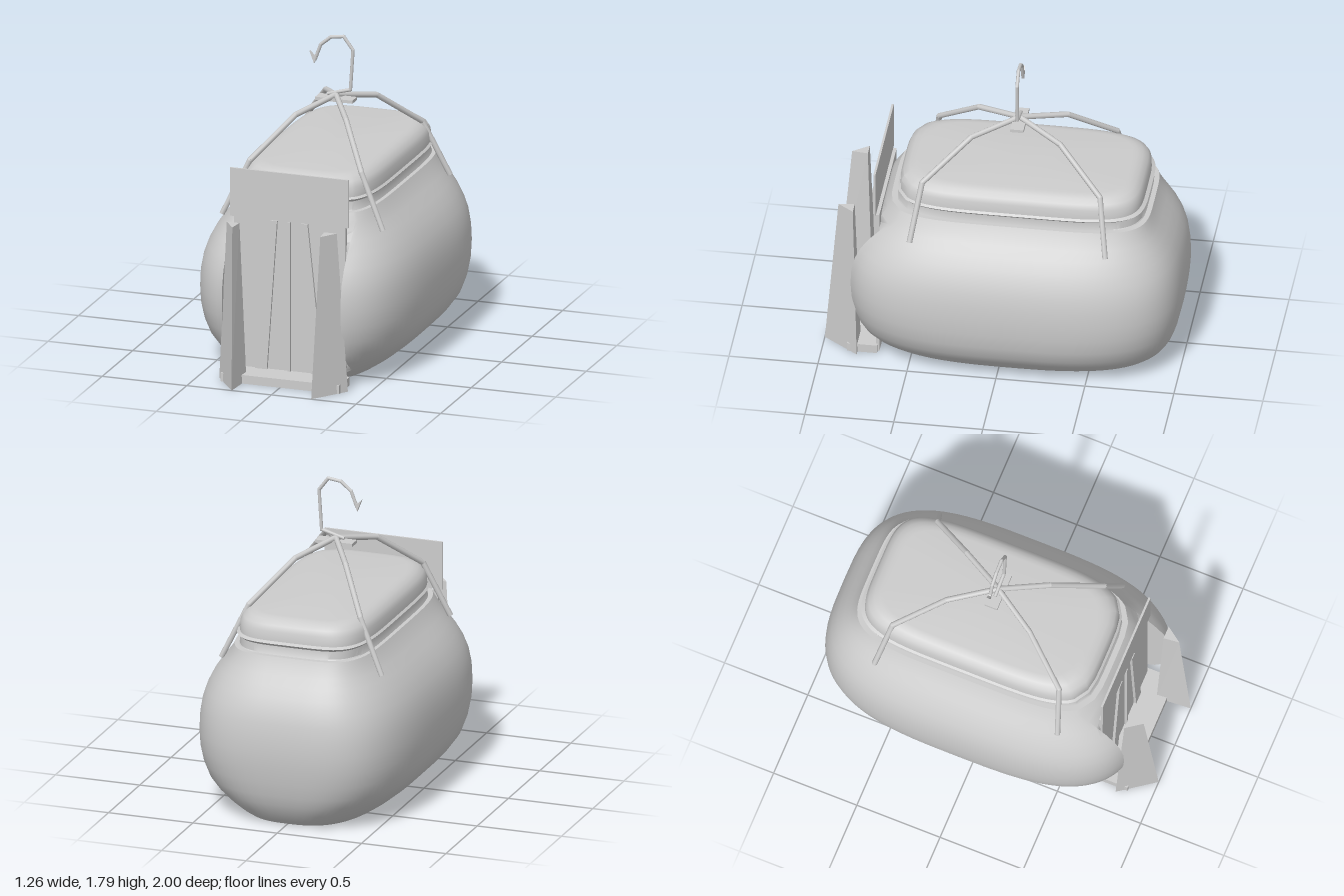
import * as THREE from 'three';
import { toCreasedNormals } from 'three/addons/utils/BufferGeometryUtils.js';

const grey = new THREE.MeshStandardMaterial({ color: 0xcccccc });
grey.name = 'light grey';
const NOTCH_X = 0.35, NOTCH_Z = 0.69, HUB_Z = -0.06;

function add(parent, name, geometry, x = 0, y = 0, z = 0) {
  const mesh = new THREE.Mesh(geometry, grey);
  mesh.name = name;
  mesh.position.set(x, y, z);
  parent.add(mesh);
  return mesh;
}

// One rounded-rectangle section, with the front middle pushed back to the notch wall
function section([y, a, back, front, n]) {
  const cz = (back + front) / 2, b = (front - back) / 2;
  const w = Math.min(NOTCH_X, a * 0.8);
  const t0 = Math.asin(Math.pow(w / a, n / 2));
  const pow = (v) => Math.sign(v) * Math.pow(Math.abs(v), 2 / n);
  const ring = [];
  for (let i = 0; i <= 72; i++) {
    const t = t0 + (i / 72) * (2 * Math.PI - 2 * t0);
    ring.push([a * pow(Math.sin(t)), y, cz + b * pow(Math.cos(t))]);
  }
  for (let i = 0; i <= 8; i++) {
    const x = -w + (i / 8) * 2 * w;
    const z = cz + b * Math.pow(1 - Math.pow(Math.abs(x) / a, n), 1 / n);
    ring.push([x, y, Math.min(z, NOTCH_Z)]);
  }
  return ring;
}

// Skin through a stack of sections, capped at both ends
function loft(rows) {
  const rings = rows.map(section), n = rings[0].length;
  const pos = rings.flat(2), index = [];
  for (let i = 0; i < rings.length - 1; i++) {
    for (let j = 0; j < n; j++) {
      const k = (j + 1) % n, p = i * n, q = p + n;
      index.push(p + j, p + k, q + k, p + j, q + k, q + j);
    }
  }
  const bottom = rings.length * n, top = bottom + 1, last = bottom - n;
  pos.push(0, rows[0][0], HUB_Z, 0, rows.at(-1)[0], HUB_Z);
  for (let j = 0; j < n; j++) {
    const k = (j + 1) % n;
    index.push(bottom, k, j, top, last + j, last + k);
  }
  const g = new THREE.BufferGeometry();
  g.setAttribute('position', new THREE.Float32BufferAttribute(pos, 3));
  g.setIndex(index);
  return toCreasedNormals(g, 0.6);
}

// Bent rod made of straight pieces with rounded joints
function rod(parent, name, points, radius) {
  const group = new THREE.Group();
  group.name = name;
  const pts = points.map((p) => new THREE.Vector3(...p));
  for (let i = 0; i < pts.length - 1; i++) {
    const dir = pts[i + 1].clone().sub(pts[i]);
    const mid = pts[i].clone().add(pts[i + 1]).multiplyScalar(0.5);
    const piece = add(group, name + 'Piece', new THREE.CylinderGeometry(radius, radius, dir.length(), 8), mid.x, mid.y, mid.z);
    piece.quaternion.setFromUnitVectors(new THREE.Vector3(0, 1, 0), dir.normalize());
    if (i > 0) add(group, name + 'Joint', new THREE.SphereGeometry(radius, 8, 6), ...points[i]);
  }
  parent.add(group);
}

// Solid between two outlines with matching corners, counter-clockwise from above
function prism(bottom, top) {
  const n = bottom.length, pos = [];
  const face = (...c) => c.forEach((p) => pos.push(...p));
  for (let j = 0; j < n; j++) {
    const k = (j + 1) % n;
    face(bottom[j], bottom[k], top[k], bottom[j], top[k], top[j]);
  }
  for (let j = 1; j < n - 1; j++) {
    face(bottom[0], bottom[j + 1], bottom[j]);
    face(top[0], top[j], top[j + 1]);
  }
  const g = new THREE.BufferGeometry();
  g.setAttribute('position', new THREE.Float32BufferAttribute(pos, 3));
  g.computeVertexNormals();
  return g;
}

export function createModel() {
  const model = new THREE.Group();
  model.name = 'hangingPod';

  // Body: height, half width, back z, front z, squareness
  add(model, 'body', loft([
    [0, 0.38, -0.83, 0.71, 2.8],
    [0.03, 0.425, -0.87, 0.75, 2.8],
    [0.08, 0.485, -0.91, 0.79, 2.9],
    [0.14, 0.545, -0.942, 0.822, 3],
    [0.2, 0.588, -0.962, 0.842, 3.1],
    [0.28, 0.615, -0.98, 0.862, 3.2],
    [0.37, 0.628, -0.993, 0.876, 3.3],
    [0.46, 0.632, -1, 0.882, 3.3],
    [0.55, 0.628, -0.996, 0.878, 3.3],
    [0.63, 0.615, -0.986, 0.862, 3.3],
    [0.7, 0.592, -0.968, 0.835, 3.3],
    [0.77, 0.555, -0.937, 0.79, 3.4],
    [0.83, 0.512, -0.9, 0.74, 3.6],
    [0.88, 0.47, -0.868, 0.7, 3.9],
    [0.93, 0.432, -0.838, 0.665, 4.3],
    [0.97, 0.41, -0.822, 0.635, 4.6],
  ]));

  // Lid with a shallow groove under its rim
  add(model, 'lid', loft([
    [0.95, 0.4, -0.81, 0.62, 4.6],
    [0.975, 0.385, -0.79, 0.6, 4.6],
    [1.02, 0.385, -0.785, 0.59, 4.6],
    [1.035, 0.4, -0.8, 0.6, 4.6],
    [1.045, 0.388, -0.78, 0.588, 4.6],
    [1.1, 0.385, -0.778, 0.586, 4.6],
    [1.13, 0.372, -0.763, 0.572, 4.5],
    [1.152, 0.346, -0.735, 0.54, 4.5],
    [1.162, 0.322, -0.705, 0.505, 4.5],
    [1.165, 0.3, -0.68, 0.475, 4.5],
  ]));

  // Front bay: back wall, header board and floor
  add(model, 'bayWall', new THREE.BoxGeometry(0.66, 0.92, 0.02), 0, 0.46, 0.69);
  add(model, 'headerBoard', new THREE.BoxGeometry(0.7, 0.28, 0.012), 0, 1.062, 0.705);
  add(model, 'bayFloor', new THREE.BoxGeometry(0.7, 0.05, 0.17), 0, 0.025, 0.775);
  add(model, 'centreRib', new THREE.BoxGeometry(0.016, 0.87, 0.02), 0, 0.485, 0.705);

  for (const s of [1, -1]) {
    const side = s > 0 ? 'left' : 'right';
    const outline = (pts, y) => {
      const o = pts.map(([x, z]) => [s * x, y, z]);
      return s > 0 ? o : o.reverse();
    };
    // Flared wall rib
    add(model, side + 'Rib', prism(
      outline([[0.13, 0.695], [0.13, 0.715], [0.2, 0.715], [0.2, 0.695]], 0.05),
      outline([[0.07, 0.695], [0.07, 0.715], [0.11, 0.715], [0.11, 0.695]], 0.92)));
    // Tapered wedge post
    add(model, side + 'Post', prism(
      outline([[0.22, 0.8], [0.235, 1], [0.38, 0.8]], 0),
      outline([[0.25, 0.83], [0.26, 0.92], [0.325, 0.83]], 0.925)));
    // Carrying straps
    for (const d of [1, -1]) {
      rod(model, side + (d > 0 ? 'Front' : 'Back') + 'Strap', [
        [0, 1.435, HUB_Z],
        [s * 0.15, 1.375, HUB_Z + d * 0.25],
        [s * 0.33, 1.165, HUB_Z + d * 0.5],
        [s * 0.475, 0.855, HUB_Z + d * 0.55],
      ], 0.016);
    }
  }

  // Hub plate and hook
  add(model, 'hubPlate', new THREE.BoxGeometry(0.22, 0.018, 0.075), 0, 1.412, HUB_Z);
  rod(model, 'hook', [
    [-0.05, 1.435], [0.085, 1.472], [0.1, 1.705], [0.045, 1.778], [-0.03, 1.768],
    [-0.09, 1.718], [-0.125, 1.625],
  ].map(([x, y]) => [x, y, HUB_Z]), 0.01);
  const barb = new THREE.Shape([[-0.155, 1.675], [-0.128, 1.605], [-0.105, 1.66], [-0.13, 1.65]]
    .map(([x, y]) => new THREE.Vector2(x, y)));
  add(model, 'hookBarb', new THREE.ExtrudeGeometry(barb, { depth: 0.016, bevelEnabled: false }), 0, 0, HUB_Z - 0.008);

  return model;
}
